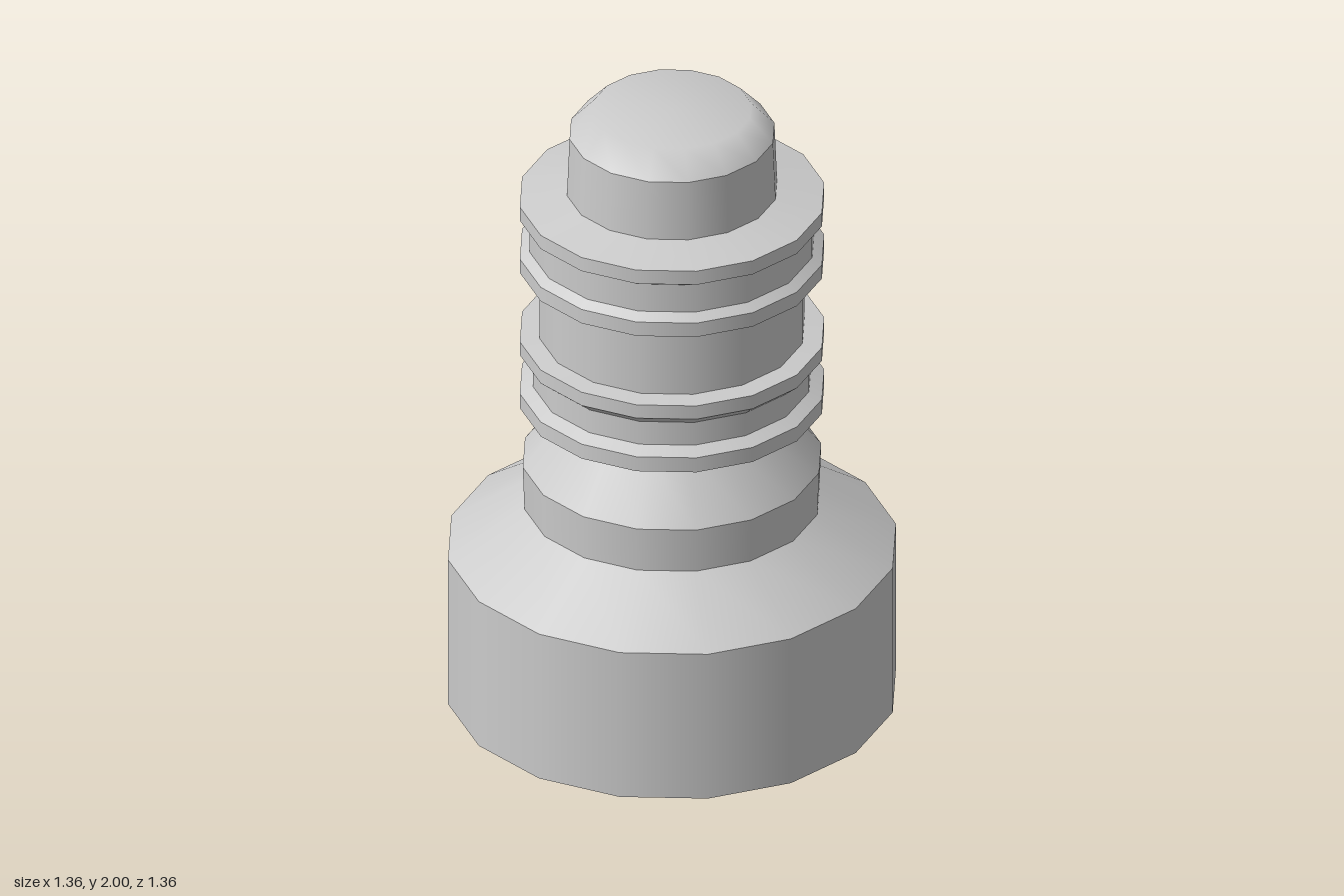
import * as THREE from 'three';

const SIDES = 16;

// Turned part: smooth around the axis, with a sharp edge between profile bands
function turned(name, profile, material) {
  const part = new THREE.Group();
  part.name = name;
  const points = profile.map(([r, y]) => new THREE.Vector2(r, y));
  for (let i = 0; i < points.length - 1; i++) {
    const band = new THREE.Mesh(new THREE.LatheGeometry([points[i], points[i + 1]], SIDES), material);
    band.name = `${name}Band${i + 1}`;
    part.add(band);
  }
  return part;
}

export function createModel() {
  const model = new THREE.Group();
  model.name = 'turnedPlug';
  const material = new THREE.MeshStandardMaterial({ color: 0xcccccc });

  // Profiles as [radius, height], from the bottom up
  const parts = {
    base: [[0, 0], [0.68, 0], [0.68, 0.5], [0.448, 0.655]],
    neck: [[0.448, 0.655], [0.453, 0.8], [0.315, 0.98]],
    lowerFlanges: [[0.315, 0.98], [0.462, 1.006], [0.462, 1.056], [0.422, 1.077],
      [0.422, 1.156], [0.462, 1.19], [0.462, 1.236], [0.402, 1.242]],
    shaft: [[0.402, 1.242], [0.402, 1.475]],
    upperFlanges: [[0.402, 1.475], [0.462, 1.475], [0.462, 1.523], [0.432, 1.544],
      [0.432, 1.638], [0.462, 1.656], [0.462, 1.703], [0.319, 1.73]],
    headWall: [[0.319, 1.73], [0.311, 1.924]],
  };
  for (const [name, profile] of Object.entries(parts)) model.add(turned(name, profile, material));

  // Rounded tip, shaded smoothly as one surface
  const tip = [[0.311, 1.924], [0.24, 2], [0, 2]].map(([r, y]) => new THREE.Vector2(r, y));
  const dome = new THREE.Mesh(new THREE.LatheGeometry(tip, SIDES), material);
  dome.name = 'domedTip';
  model.add(dome);

  return model;
}
